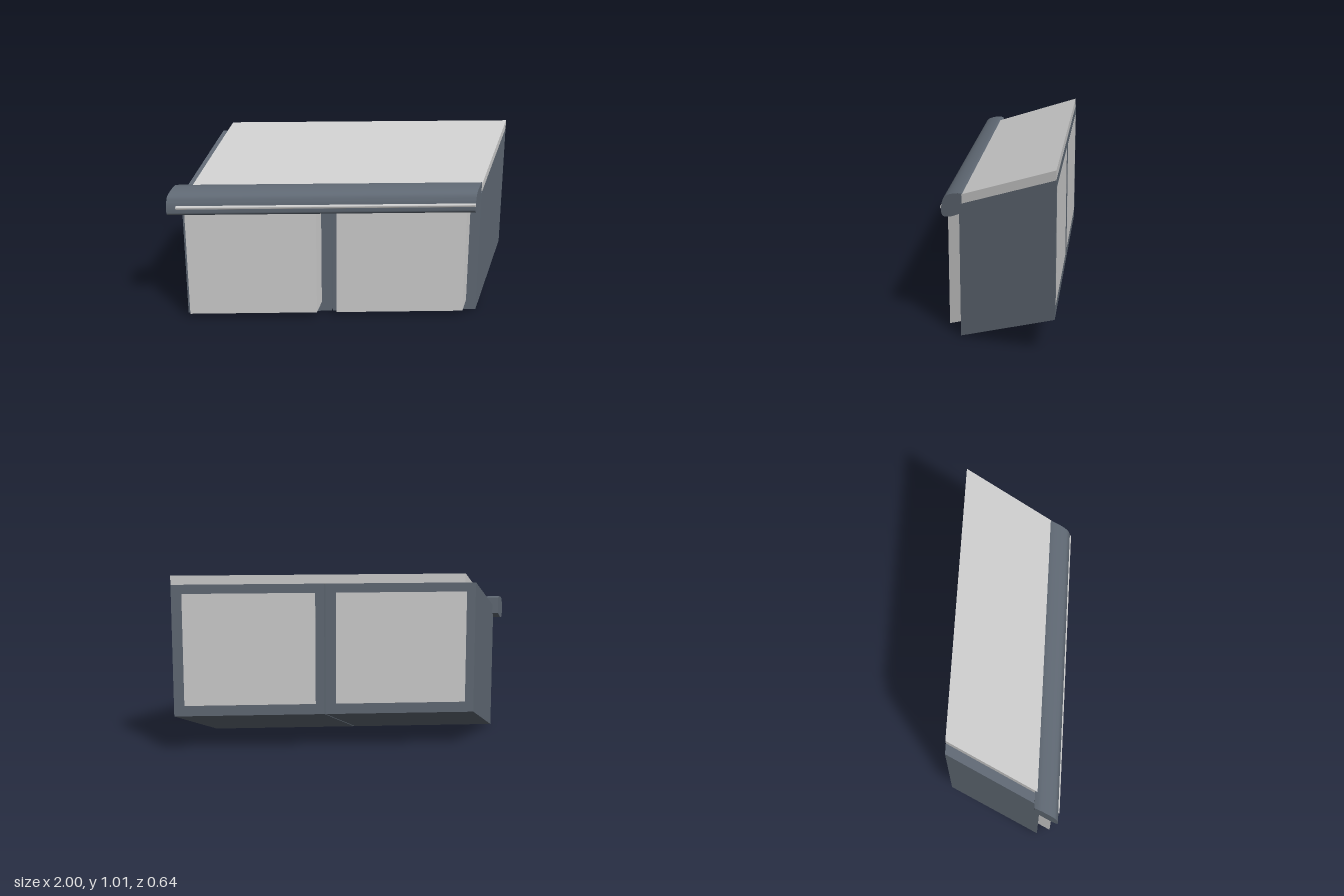
import * as THREE from 'three';
import { toCreasedNormals } from 'three/addons/utils/BufferGeometryUtils.js';

const SLANT = 0.4, FRONT = 0.21, BACK = -0.315;

// Slant a geometry: x and y grow towards the back
function slant(geometry, kx, ky, creaseAngle = 0.2) {
  const p = geometry.attributes.position;
  for (let i = 0; i < p.count; i++) {
    const d = FRONT - p.getZ(i);
    p.setXY(i, p.getX(i) + kx * d, p.getY(i) + ky * d);
  }
  return toCreasedNormals(geometry, creaseAngle);
}

// Slanted block given by its limits at the front plane
function block(name, material, [x0, x1], [y0, y1], [z0, z1]) {
  const g = new THREE.BoxGeometry(x1 - x0, y1 - y0, z1 - z0);
  g.translate((x0 + x1) / 2, (y0 + y1) / 2, (z0 + z1) / 2);
  const mesh = new THREE.Mesh(slant(g, SLANT, SLANT), material);
  mesh.name = name;
  return mesh;
}

// Bar along x from a smooth shape drawn in (-z, y)
function bar(name, material, shape, x0, x1) {
  const g = new THREE.ExtrudeGeometry(shape, { depth: x1 - x0, bevelEnabled: false, curveSegments: 8 });
  g.rotateY(Math.PI / 2).translate(x0, 0, 0);
  const mesh = new THREE.Mesh(slant(g, SLANT, 0, 0.7), material);
  mesh.name = name;
  return mesh;
}

export function createModel() {
  const model = new THREE.Group();
  model.name = 'drawerCabinet';
  const dark = new THREE.MeshStandardMaterial({ color: 0x5f6873 });
  const grey = new THREE.MeshStandardMaterial({ color: 0xcccccc });

  // Two cabinet bodies, each with a drawer running through to the back
  [[-0.925, 'right'], [-0.064, 'left']].forEach(([x, side]) => {
    model.add(block(side + 'Cabinet', dark, [x, x + 0.854], [0, 0.752], [BACK, FRONT]));
    model.add(block(side + 'Drawer', grey, [x + 0.05, x + 0.795], [0.06, 0.7], [BACK - 0.001, 0.285]));
  });

  // Worktop, set in from the right edge
  model.add(block('worktop', grey, [-0.865, 0.79], [0.752, 0.803], [BACK, 0.196]));

  // Rounded front rail
  const rail = new THREE.Shape();
  rail.moveTo(-0.18, 0.711);
  rail.lineTo(-0.18, 0.806);
  rail.lineTo(-0.2, 0.812);
  rail.bezierCurveTo(-0.25, 0.808, -0.288, 0.79, -0.298, 0.775);
  rail.bezierCurveTo(-0.309, 0.755, -0.314, 0.73, -0.314, 0.7);
  rail.bezierCurveTo(-0.314, 0.672, -0.303, 0.666, -0.285, 0.669);
  rail.bezierCurveTo(-0.26, 0.672, -0.235, 0.684, -0.21, 0.698);
  rail.closePath();
  model.add(bar('frontRail', dark, rail, -0.96, 0.786));

  // Thin light trim strip along the rail
  const trim = new THREE.Shape();
  trim.absellipse(-0.312, 0.718, 0.008, 0.011, 0, Math.PI * 2);
  model.add(bar('trimStrip', grey, trim, -0.905, 0.786));

  return model;
}
